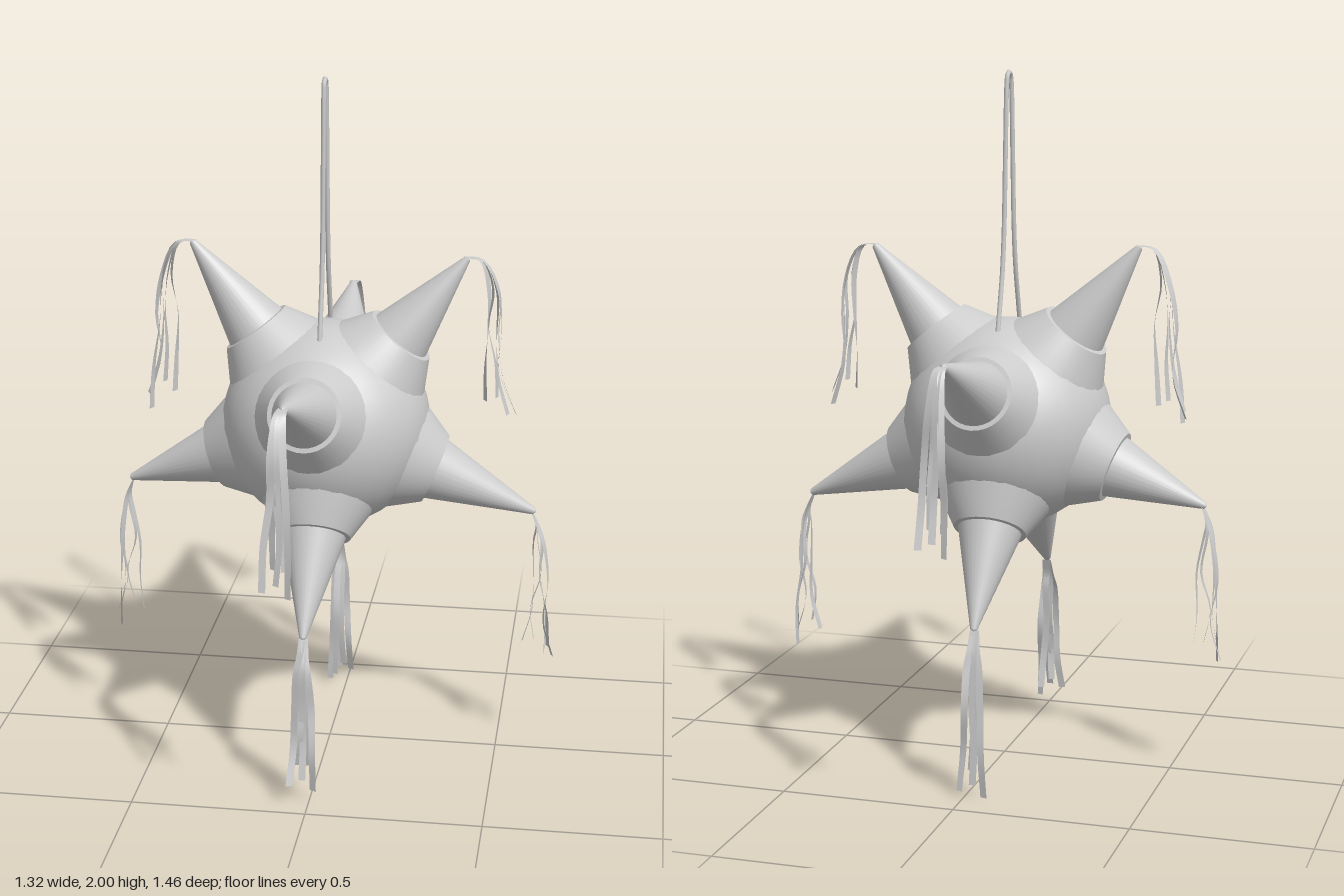
import * as THREE from 'three';

const CENTER = new THREE.Vector3(-0.01, 1, 0);
const UP = new THREE.Vector3(0, 1, 0);

// spike tip, how far its tassel swings outward, tassel length
const SPIKES = [
  { name: 'upperRight', tip: [-0.4, 1.52, -0.02], swing: 0.1, length: 0.5 },
  { name: 'upperLeft', tip: [0.39, 1.5, -0.01], swing: 0.1, length: 0.47 },
  { name: 'lowerRight', tip: [-0.6, 0.79, -0.02], swing: 0.01, length: 0.46 },
  { name: 'lowerLeft', tip: [0.6, 0.75, -0.01], swing: 0.015, length: 0.46 },
  { name: 'upperFront', tip: [-0.04, 1.235, 0.6], swing: 0.085, length: 0.49 },
  { name: 'upperBack', tip: [-0.01, 1.255, -0.6], swing: 0.08, length: 0.49 },
  { name: 'lowerFront', tip: [-0.02, 0.49, 0.4], swing: 0.015, length: 0.45 },
  { name: 'lowerBack', tip: [-0.02, 0.475, -0.37], swing: 0.0, length: 0.475 },
];

// strands: spread along the spike, spread sideways, fraction of full length
const STRANDS = [[-0.045, 0.012, 0.9], [0.045, -0.03, 0.95], [0.02, 0.034, 1], [-0.01, -0.012, 0.86], [0.03, 0.004, 0.92]];

function seeded(seed) {
  return () => (seed = (seed * 16807) % 2147483647) / 2147483647;
}

// flat paper strip following a curve, its width lying along a slowly twisting side vector
function ribbon(points, side, out, width, twist) {
  const curve = new THREE.CatmullRomCurve3(points);
  const n = 20, pos = [], idx = [];
  for (let i = 0; i <= n; i++) {
    const p = curve.getPoint(i / n);
    const a = twist * Math.sin((i / n) * Math.PI * 1.5);
    const w = side.clone().multiplyScalar(Math.cos(a)).addScaledVector(out, Math.sin(a)).multiplyScalar(width / 2);
    pos.push(...p.clone().sub(w).toArray(), ...p.clone().add(w).toArray());
    if (i < n) idx.push(2 * i, 2 * i + 1, 2 * i + 2, 2 * i + 1, 2 * i + 3, 2 * i + 2);
  }
  const g = new THREE.BufferGeometry();
  g.setAttribute('position', new THREE.Float32BufferAttribute(pos, 3));
  g.setIndex(idx);
  g.computeVertexNormals();
  return g;
}

function lathe(points, material, name) {
  const mesh = new THREE.Mesh(new THREE.LatheGeometry(points.map(p => new THREE.Vector2(...p)), 32), material);
  mesh.name = name;
  return mesh;
}

export function createModel() {
  const model = new THREE.Group();
  model.name = 'starPinata';
  const paper = new THREE.MeshStandardMaterial({ color: 0xcccccc });
  const thin = new THREE.MeshStandardMaterial({ color: 0xcccccc, side: THREE.DoubleSide });
  const rand = seeded(77);

  // round body
  const body = new THREE.Mesh(new THREE.SphereGeometry(0.3, 32, 24), paper);
  body.name = 'body';
  body.position.copy(CENTER);
  model.add(body);

  for (const { name, tip, swing, length } of SPIKES) {
    const end = new THREE.Vector3(...tip);
    const axis = end.clone().sub(CENTER);
    const reach = axis.length();
    axis.normalize();

    // cone and the paper collar around its base
    const spike = new THREE.Group();
    spike.name = name + 'Spike';
    spike.position.copy(CENTER);
    spike.quaternion.setFromUnitVectors(UP, axis);
    spike.add(lathe([[0.108, 0.28], [0.01, reach - 0.006], [0, reach]], paper, 'cone'));
    spike.add(lathe([[0.172, 0.22], [0.158, 0.253], [0.104, 0.342]], thin, 'collar'));
    spike.add(lathe([[0.104, 0.342], [0.09, 0.343]], thin, 'collarRim'));
    model.add(spike);

    // tassel of wavy strips hanging from the tip
    const out = new THREE.Vector3(axis.x, 0, axis.z).normalize();
    const side = new THREE.Vector3().crossVectors(UP, out);
    const tassel = new THREE.Group();
    tassel.name = name + 'Tassel';
    for (const [along, across, part] of STRANDS) {
      const drop = length * part;
      const wave = () => (rand() - 0.5) * 0.03;
      const at = (o, s, d) => end.clone().addScaledVector(out, o).addScaledVector(side, s).addScaledVector(UP, -d);
      const pts = [
        at(-0.012, across * 0.1, 0),
        at(swing * 0.4 + along * 0.1, across * 0.25, swing > 0.05 ? 0.008 : 0.05),
        at(swing * 0.75 + along * 0.35, across * 0.5, drop * 0.22),
        at(swing * 0.8 + along * 0.5 + wave(), across * 0.7 + wave() * 0.4, drop * 0.48),
        at(swing * 0.85 + along * 0.6 + wave(), across * 0.9 + wave() * 0.4, drop * 0.75),
        at(swing + along, across, drop),
      ];
      const strip = new THREE.Mesh(ribbon(pts, side, out, 0.02, (rand() - 0.5) * 1.2), thin);
      strip.name = 'strip';
      tassel.add(strip);
    }
    model.add(tassel);
  }

  // hanging rope loop
  const leg = [[1.26, 0.115], [1.33, 0.095], [1.44, 0.066], [1.56, 0.049], [1.75, 0.037], [1.96, 0.023], [1.985, 0.016]];
  const ropePoints = [
    ...leg.map(([y, z]) => new THREE.Vector3(-0.013, y, z)),
    new THREE.Vector3(-0.013, 1.993, 0),
    ...leg.slice().reverse().map(([y, z]) => new THREE.Vector3(-0.013, y, -z)),
  ];
  const rope = new THREE.Mesh(new THREE.TubeGeometry(new THREE.CatmullRomCurve3(ropePoints), 90, 0.007, 8), paper);
  rope.name = 'rope';
  model.add(rope);

  return model;
}
